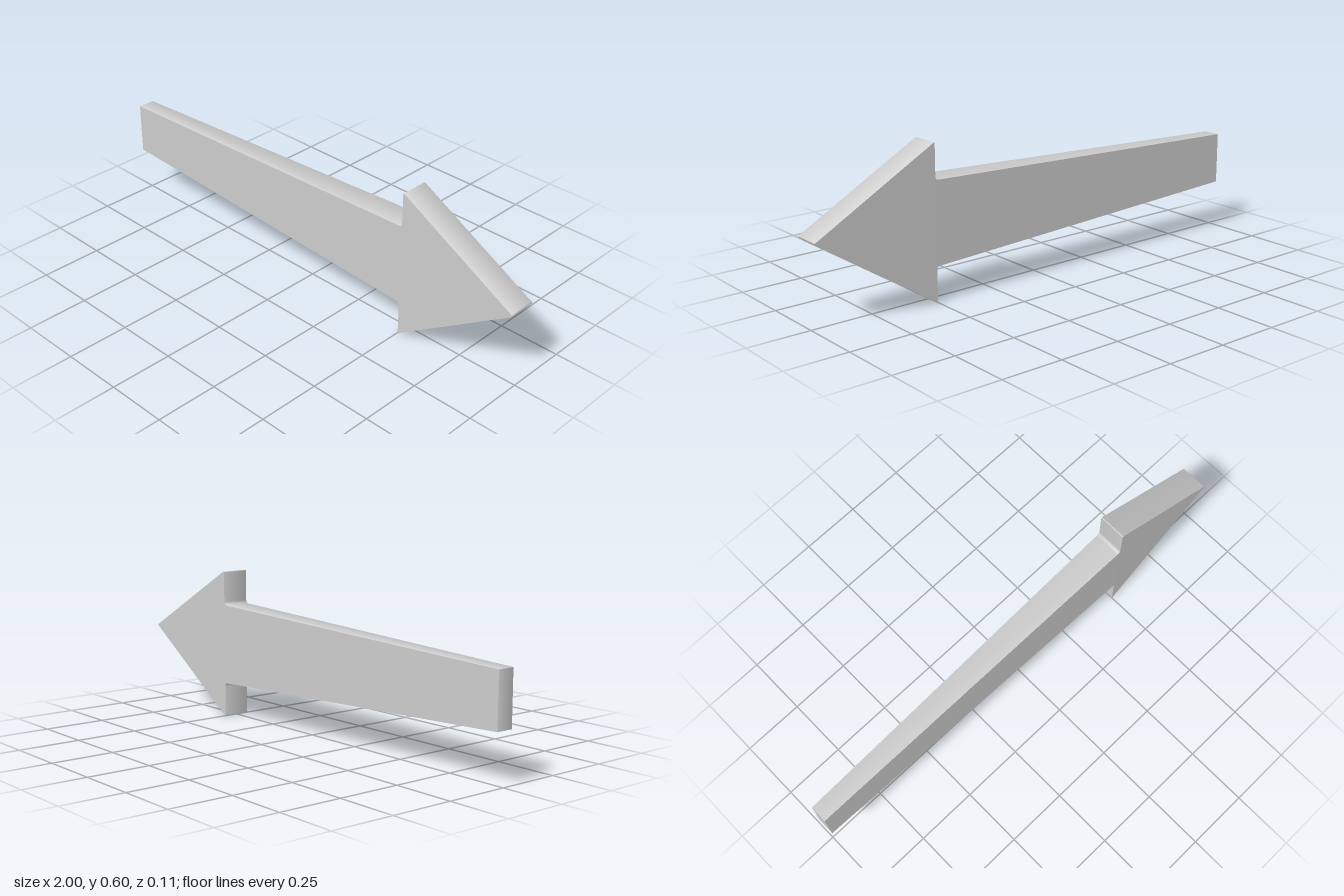
import * as THREE from 'three';

const TAIL_X = -1, NECK_X = 0.5;
const TAIL_HALF = 0.035, HEAD_HALF = 0.056;

// Extrudes an outline, thins it towards the tail and softens the shading of its rim
function plate(name, shape, material) {
  const geometry = new THREE.ExtrudeGeometry(shape, { depth: 2, bevelEnabled: false, curveSegments: 6 });
  geometry.translate(0, 0, -1);
  const position = geometry.attributes.position;
  for (let i = 0; i < position.count; i++) {
    const t = Math.min(1, (position.getX(i) - TAIL_X) / (NECK_X - TAIL_X));
    position.setZ(i, position.getZ(i) * THREE.MathUtils.lerp(TAIL_HALF, HEAD_HALF, t));
  }
  geometry.computeVertexNormals();
  const normal = geometry.attributes.normal;
  const n = new THREE.Vector3();
  for (let i = 0; i < normal.count; i++) {
    n.fromBufferAttribute(normal, i);
    if (Math.abs(n.z) > 0.9) continue;
    n.z += 0.4 * Math.sign(position.getZ(i));
    n.normalize();
    normal.setXYZ(i, n.x, n.y, n.z);
  }
  const mesh = new THREE.Mesh(geometry, material);
  mesh.name = name;
  return mesh;
}

export function createModel() {
  const group = new THREE.Group();
  group.name = 'arrow';
  const material = new THREE.MeshStandardMaterial({ color: 0xcccccc });

  // Tapering shaft with small fillets where it meets the head
  const shaft = new THREE.Shape();
  shaft.moveTo(TAIL_X, 0.197);
  shaft.lineTo(0.485, 0.141);
  shaft.quadraticCurveTo(NECK_X, 0.14, NECK_X, 0.125);
  shaft.lineTo(NECK_X, 0.482);
  shaft.quadraticCurveTo(NECK_X, 0.467, 0.485, 0.466);
  shaft.lineTo(TAIL_X, 0.407);
  shaft.closePath();
  group.add(plate('shaft', shaft, material));

  // Triangular head with slightly rounded corners
  const head = new THREE.Shape();
  head.moveTo(NECK_X, 0.005);
  head.quadraticCurveTo(NECK_X, 0, 0.506, 0.003);
  head.lineTo(0.992, 0.321);
  head.quadraticCurveTo(1.008, 0.33, 0.992, 0.336);
  head.lineTo(0.506, 0.604);
  head.quadraticCurveTo(NECK_X, 0.607, NECK_X, 0.6);
  head.closePath();
  group.add(plate('head', head, material));

  return group;
}
